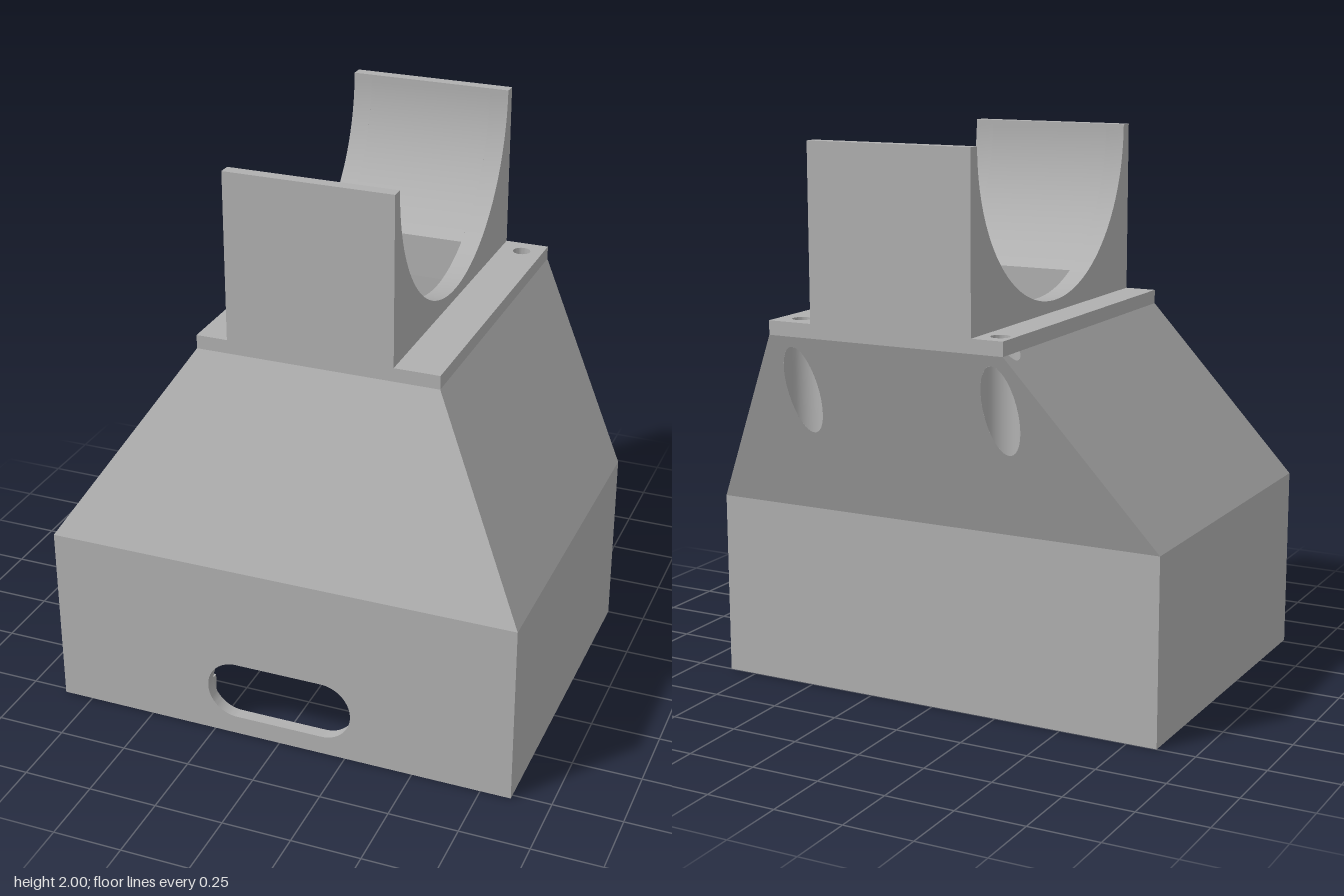
import * as THREE from 'three';
import { toCreasedNormals } from 'three/addons/utils/BufferGeometryUtils.js';

const W = 0.86, ZF = 0.77, ZB = -0.5, WALL = 0.045;     // base footprint
const Y1 = 0.67, Y2 = 1.34, Y3 = 1.39;                  // wall top, slope top, plate top
const TOP = { x0: -0.42, x1: 0.47, z0: -0.77, z1: 0.46 };
const WIN = { x0: -0.235, x1: 0.235, z0: -0.43, z1: 0.11 };
const SCREWS = [-0.37, 0.39], SCREW_Z = -0.69, POCKET_R = 0.065;
const SADDLE_X = 0.305, CZ = -0.155, R = 0.57;

// sloped planes of the tapered section
const backZ = y => ZB + (TOP.z0 - ZB) * (y - Y1) / (Y2 - Y1);
const backY = z => Y1 + (Y2 - Y1) * (z - ZB) / (TOP.z0 - ZB);
const sideX = y => -W + (TOP.x0 + W) * (y - Y1) / (Y2 - Y1);
const sideY = x => Y1 + (Y2 - Y1) * (x + W) / (TOP.x0 + W);

const polygon = pts => new THREE.Shape(pts.map(p => new THREE.Vector2(...p)));
const rect = (x0, x1, y0, y1) => [[x0, y0], [x1, y0], [x1, y1], [x0, y1]];
const ring = (y, x0, x1, z0, z1) =>
  [[x0, y, z1], [x1, y, z1], [x1, y, z0], [x0, y, z0]];

// four-sided loft through rings; skip holds "band,side" keys (0 front, 1 +x, 2 back, 3 -x)
function loft(rings, skip) {
  const pos = [];
  for (let b = 0; b < rings.length - 1; b++) {
    for (let i = 0; i < 4; i++) {
      if (skip.includes(`${b},${i}`)) continue;
      const j = (i + 1) % 4, U = rings[b], L = rings[b + 1];
      for (const p of [L[i], L[j], U[j], L[i], U[j], U[i]]) pos.push(...p);
    }
  }
  const g = new THREE.BufferGeometry();
  g.setAttribute('position', new THREE.Float32BufferAttribute(pos, 3));
  g.computeVertexNormals();
  return g;
}

// flat shape laid onto a sloped plane
function panel(shape, place) {
  const g = new THREE.ShapeGeometry(shape, 24);
  const p = g.attributes.position;
  for (let i = 0; i < p.count; i++) p.setXYZ(i, ...place(p.getX(i), p.getY(i)));
  g.computeVertexNormals();
  return g;
}

// side profile of the cradle between two depths, with its round seat
function saddleSlab(x0, x1, z0, z1) {
  const a0 = z1 > CZ + R ? 0 : Math.acos((z1 - CZ) / R);
  const a1 = z0 < CZ - R ? Math.PI : Math.acos((z0 - CZ) / R);
  const pts = [[z0, Y3], [z1, Y3]];
  if (a0 === 0) pts.push([z1, 2]);
  const n = Math.ceil((a1 - a0) * 20);
  for (let i = 0; i <= n; i++) {
    const a = a0 + (a1 - a0) * i / n;
    pts.push([CZ + R * Math.cos(a), 2 - R * Math.sin(a)]);
  }
  if (a1 === Math.PI) pts.push([z0, 2]);
  const g = new THREE.ExtrudeGeometry(polygon(pts), { depth: x1 - x0, bevelEnabled: false });
  g.rotateY(-Math.PI / 2).translate(x1, 0, 0);
  return toCreasedNormals(g, 0.5);
}

export function createModel() {
  const group = new THREE.Group();
  const grey = new THREE.MeshStandardMaterial({ color: 0xb0b0b0, side: THREE.DoubleSide });
  grey.name = 'plain grey';
  const add = (name, geometry) => {
    const m = new THREE.Mesh(geometry, grey);
    m.name = name;
    group.add(m);
    return m;
  };

  // hollow housing: outside slope and walls, bottom rim, inside walls and slope
  const iw = W - WALL;
  add('housingShell', loft([
    ring(Y2, TOP.x0, TOP.x1, TOP.z0, TOP.z1),
    ring(Y1, -W, W, ZB, ZF),
    ring(0, -W, W, ZB, ZF),
    ring(0, -iw, iw, ZB + WALL, ZF - WALL),
    ring(Y1, -iw, iw, ZB + WALL, ZF - WALL),
    ring(Y2, WIN.x0, WIN.x1, WIN.z0, WIN.z1),
  ], ['0,2', '0,3', '1,0', '2,0', '3,0']));

  // front wall with the rounded slot
  const front = polygon(rect(-W, W, 0, Y1));
  const slot = new THREE.Path();
  slot.absarc(0.16, 0.18, 0.11, -Math.PI / 2, Math.PI / 2);
  slot.absarc(-0.163, 0.18, 0.11, Math.PI / 2, Math.PI * 1.5);
  slot.closePath();
  front.holes.push(slot);
  const frontGeo = new THREE.ExtrudeGeometry(front, { depth: WALL, bevelEnabled: false, curveSegments: 20 });
  add('frontWall', toCreasedNormals(frontGeo.translate(0, 0, ZF - WALL), 0.5));

  // small tabs inside, either side of the slot
  for (const s of [-1, 1]) {
    add('innerTab', new THREE.BoxGeometry(0.1, 0.16, 0.05))
      .position.set(s * 0.335, 0.085, ZF - WALL - 0.02);
  }

  // sloped back with openings where the screw pockets break through
  const back = polygon([[-W, Y1], [W, Y1], [TOP.x1, Y2], [TOP.x0, Y2]]);
  const pocketRy = POCKET_R * (Y2 - Y1) / (ZB - TOP.z0);
  for (const x of SCREWS) {
    back.holes.push(new THREE.Path().absellipse(x, backY(SCREW_Z), POCKET_R, pocketRy, 0, Math.PI * 2));
  }
  add('slopedBack', panel(back, (x, y) => [x, y, backZ(y)]));

  // sloped side, nicked at the top by the neighbouring pocket
  const dz = Math.sqrt(POCKET_R ** 2 - (TOP.x0 - SCREWS[0]) ** 2);
  const side = polygon([[ZB, Y1], [ZF, Y1], [TOP.z1, Y2], [SCREW_Z + dz, Y2]]);
  side.quadraticCurveTo(SCREW_Z, 2 * sideY(SCREWS[0] - POCKET_R) - Y2, SCREW_Z - dz, Y2);
  side.lineTo(TOP.z0, Y2);
  add('slopedSide', panel(side, (z, y) => [sideX(y), y, z]));

  // upright screw pockets trimmed to the slopes
  for (const x of SCREWS) {
    const g = new THREE.CylinderGeometry(POCKET_R, POCKET_R, 1, 32, 1, true).translate(x, 0, SCREW_Z);
    const p = g.attributes.position;
    for (let i = 0; i < p.count; i++) {
      p.setY(i, p.getY(i) > 0 ? Math.min(Y2, sideY(Math.min(p.getX(i), TOP.x0))) : backY(p.getZ(i)));
    }
    add('screwPocket', g);
  }

  // top plate with window and screw holes
  const plate = polygon(rect(TOP.x0, TOP.x1, -TOP.z1, -TOP.z0));
  plate.holes.push(polygon(rect(WIN.x0, WIN.x1, -WIN.z1, -WIN.z0)));
  for (const x of SCREWS) {
    plate.holes.push(new THREE.Path().absarc(x, -SCREW_Z, 0.033, 0, Math.PI * 2));
  }
  const plateGeo = new THREE.ExtrudeGeometry(plate, { depth: Y3 - Y2, bevelEnabled: false, curveSegments: 24 });
  add('topPlate', toCreasedNormals(plateGeo.rotateX(-Math.PI / 2).translate(0, Y2, 0), 0.5));

  // round cradle, built around the window
  add('cradleCheek', saddleSlab(-SADDLE_X, WIN.x0, TOP.z0, TOP.z1));
  add('cradleCheek', saddleSlab(WIN.x1, SADDLE_X, TOP.z0, TOP.z1));
  add('cradleFront', saddleSlab(WIN.x0, WIN.x1, WIN.z1, TOP.z1));
  add('cradleBack', saddleSlab(WIN.x0, WIN.x1, TOP.z0, WIN.z0));

  return group;
}
